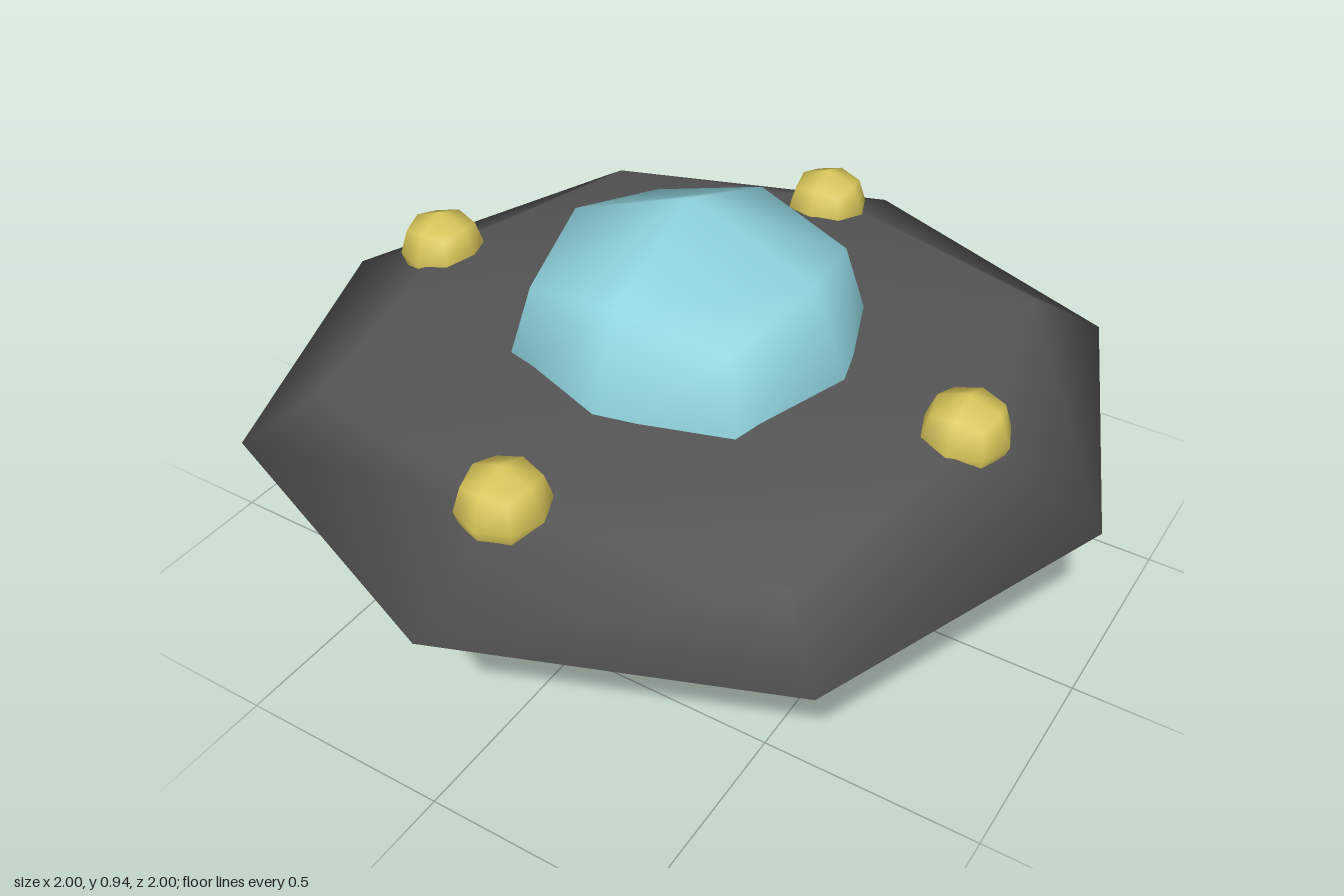
import * as THREE from 'three';
import { mergeVertices } from 'three/addons/utils/BufferGeometryUtils.js';

// Distance along each axis for face centres, edge midpoints and corners of the rounded cube
const ROUND = [0, 1, 0.72, 0.59];

// Low-poly ball made by rounding a 2x2x2 cube; reshape(v, cell) may move a vertex afterwards
function ball(rx, ry, rz, reshape) {
  let g = new THREE.BoxGeometry(2, 2, 2, 2, 2, 2);
  g.deleteAttribute('normal');
  g.deleteAttribute('uv');
  g = mergeVertices(g);
  const p = g.attributes.position;
  const v = new THREE.Vector3();
  for (let i = 0; i < p.count; i++) {
    const cell = new THREE.Vector3().fromBufferAttribute(p, i).round();
    const axes = Math.abs(cell.x) + Math.abs(cell.y) + Math.abs(cell.z);
    v.copy(cell).multiplyScalar(ROUND[axes]);
    v.set(v.x * rx, v.y * ry, v.z * rz);
    if (reshape) reshape(v, cell);
    p.setXYZ(i, v.x, v.y, v.z);
  }
  g.computeVertexNormals();
  return g;
}

export function createModel() {
  const model = new THREE.Group();
  const hull = new THREE.MeshStandardMaterial({ color: 0x555555 });
  const glass = new THREE.MeshStandardMaterial({ color: 0x8fd3de });
  const lamp = new THREE.MeshStandardMaterial({ color: 0xd9c75a });

  const add = (name, geometry, material, x, y, z) => {
    const mesh = new THREE.Mesh(geometry, material);
    mesh.name = name;
    mesh.position.set(x, y, z);
    model.add(mesh);
  };

  // Flattened main disc
  add('saucerDisc', ball(1, 0.187, 1), hull, 0, 0.455, 0);

  // Cockpit dome, sunk into the disc
  add('cockpitDome', ball(0.43, 0.43, 0.43), glass, 0, 0.515, 0);

  // Lower bowl: rounded underside, upper half flared up into the disc
  const bowl = ball(0.465, 0.168, 0.465, (v, cell) => {
    if (cell.y < 1) return;
    const r = cell.x && cell.z ? 0.355 : 0.49;
    v.set(cell.x * r, cell.x || cell.z ? 0.23 : 0.25, cell.z * r);
  });
  add('lowerBowl', bowl, hull, 0, 0.168, 0);

  // Four lights around the rim
  const bulb = ball(0.1, 0.1, 0.1);
  const spots = { frontLight: [0, 0.7], backLight: [-0.02, -0.69], leftLight: [0.68, 0], rightLight: [-0.72, 0] };
  for (const [name, [x, z]] of Object.entries(spots)) add(name, bulb, lamp, x, 0.587, z);

  return model;
}
